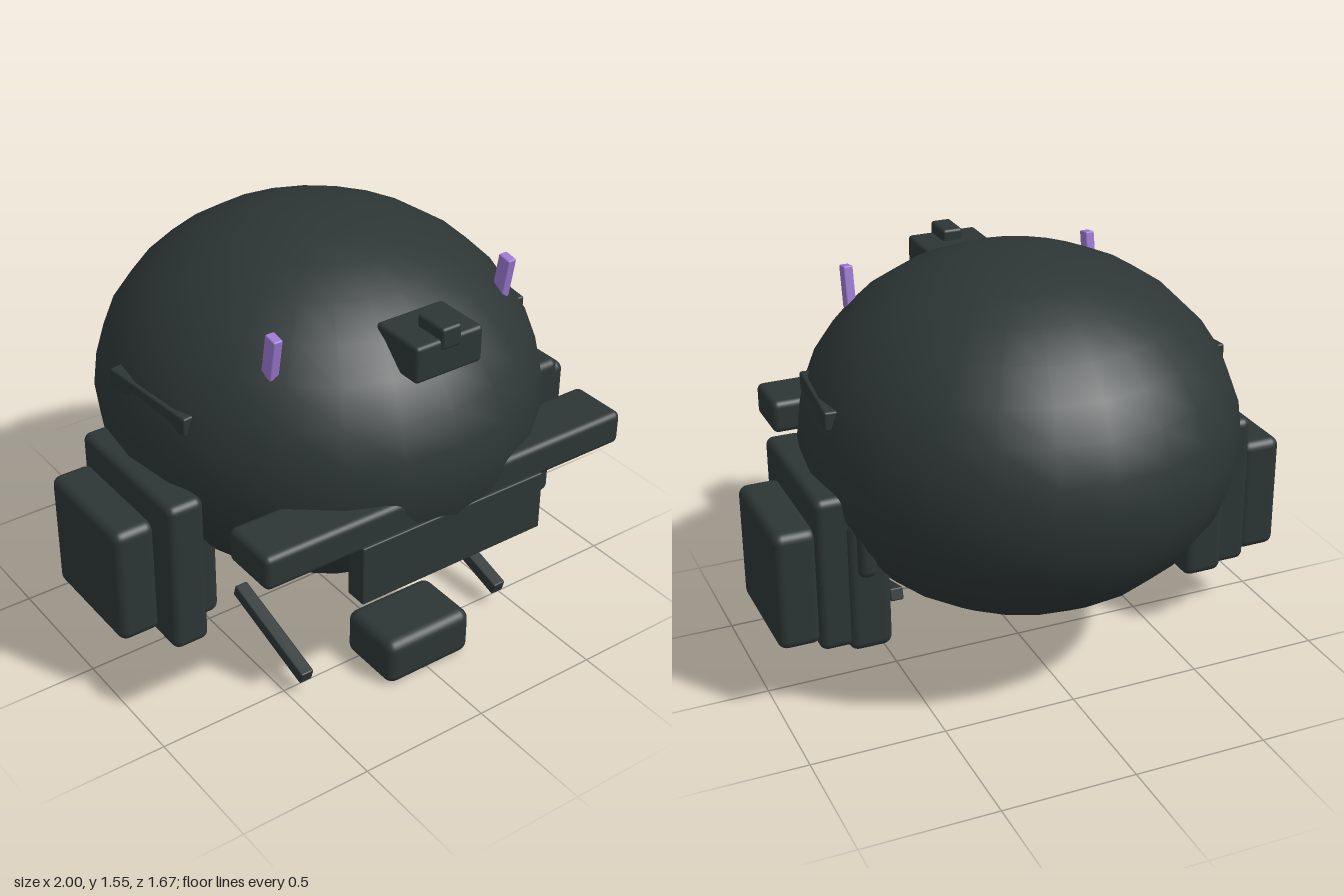
import * as THREE from 'three';
import { RoundedBoxGeometry } from 'three/addons/geometries/RoundedBoxGeometry.js';

const charcoal = new THREE.MeshStandardMaterial({ name: 'charcoal', color: 0x2d3535 });
const purple = new THREE.MeshStandardMaterial({ name: 'purple', color: 0x9b78d0 });

// Box given by its size and centre; a radius of 0 keeps the edges sharp
function box(parent, name, size, centre, radius = 0, material = charcoal) {
  const geometry = radius
    ? new RoundedBoxGeometry(...size, 3, radius)
    : new THREE.BoxGeometry(...size);
  const mesh = new THREE.Mesh(geometry, material);
  mesh.name = name;
  mesh.position.set(...centre);
  parent.add(mesh);
  return mesh;
}

export function createModel() {
  const model = new THREE.Group();
  model.name = 'model';

  // Egg-shaped hull
  const hullGeometry = new THREE.SphereGeometry(1, 24, 16);
  hullGeometry.scale(0.8, 0.655, 0.835);
  const hull = new THREE.Mesh(hullGeometry, charcoal);
  hull.name = 'hull';
  hull.position.y = 0.9;
  model.add(hull);

  // Front bumper bar, plate below it and the low nose block
  box(model, 'bumperBar', [1.52, 0.13, 0.225], [0, 0.81, 0.685], 0.025);
  box(model, 'bumperPlate', [0.775, 0.23, 0.085], [0, 0.652, 0.767], 0.006);
  box(model, 'noseBlock', [0.37, 0.185, 0.27], [0, 0.0925, 0.575], 0.04);

  // Brow lamp with a small cap
  box(model, 'lampHousing', [0.275, 0.135, 0.22], [0, 1.338, 0.632], 0.015);
  box(model, 'lampCap', [0.08, 0.08, 0.135], [0, 1.408, 0.682], 0.012);

  for (const side of [-1, 1]) {
    const sideName = side > 0 ? 'left' : 'right';

    // Stacked side pod, from the hull outwards
    const pod = new THREE.Group();
    pod.name = sideName + 'Pod';
    model.add(pod);
    box(pod, 'podInner', [0.16, 0.52, 0.48], [side * 0.67, 0.495, -0.005], 0.035);
    box(pod, 'podMiddle', [0.14, 0.595, 0.595], [side * 0.785, 0.553, 0.068], 0.03);
    box(pod, 'podOuter', [0.16, 0.455, 0.46], [side * 0.92, 0.508, 0.02], 0.035);
    box(pod, 'podBump', [0.07, 0.19, 0.08], [side * 0.68, 0.63, -0.232], 0.03);

    // Slanted rod under the hull
    const rod = box(model, sideName + 'Rod', [0.052, 0.05, 0.448], [side * 0.443, 0.143, 0.348], 0.006);
    rod.rotation.x = 0.29;

    // Side strip half sunk into the hull
    const strip = box(model, sideName + 'Strip', [0.05, 0.07, 0.415], [side * 0.729, 1.09, 0.07], 0.008);
    strip.rotation.set(0.03, side * -0.1, 0);

    // Purple marker leaning forward
    const marker = box(model, sideName + 'Marker', [0.036, 0.16, 0.055], [side * 0.486, 1.35, 0.435], 0.006, purple);
    marker.rotation.x = 0.18;
  }
  return model;
}
